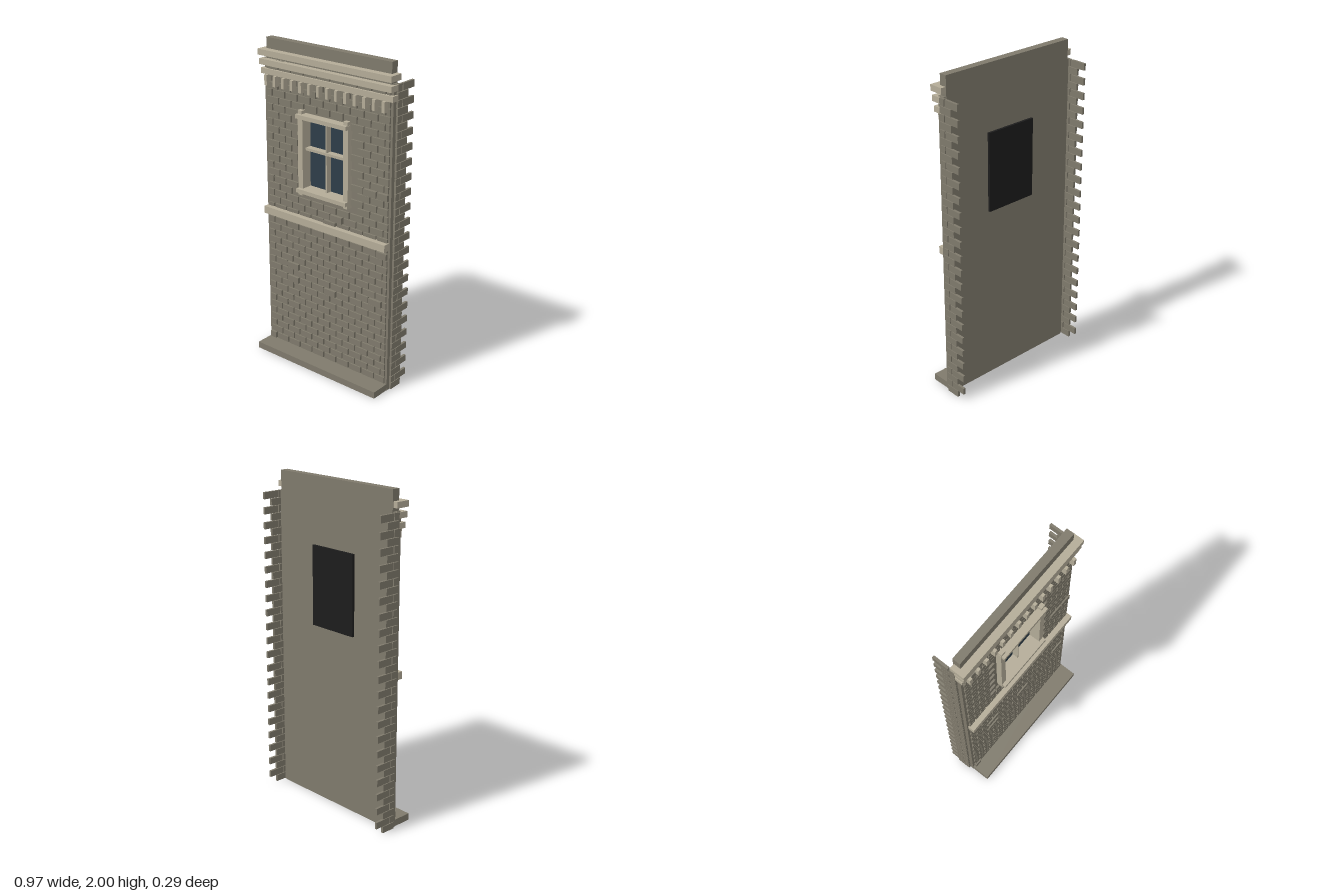
import * as THREE from 'three';
import { mergeGeometries } from 'three/addons/utils/BufferGeometryUtils.js';

const material = (name, color) => {
  const m = new THREE.MeshStandardMaterial({ color });
  m.name = name;
  return m;
};

// Box from its min/max limits
const block = (x0, x1, y0, y1, z0, z1) =>
  new THREE.BoxGeometry(x1 - x0, y1 - y0, z1 - z0)
    .translate((x0 + x1) / 2, (y0 + y1) / 2, (z0 + z1) / 2);

export function createModel() {
  const group = new THREE.Group();
  const stone = material('brick stone', 0x7f7a6c);
  const trim = material('pale trim', 0xb4ac98);
  const glass = material('window glass', 0x2e3d49);
  const black = material('black backing', 0x1c1c1c);

  const add = (name, mat, geometry) => {
    const mesh = new THREE.Mesh(Array.isArray(geometry) ? mergeGeometries(geometry) : geometry, mat);
    mesh.name = name;
    group.add(mesh);
  };

  // Small seeded generator for the odd protruding brick
  let seed = 7;
  const random = () => (seed = (seed * 16807) % 2147483647) / 2147483647;

  // Wall slab with the window opening
  const outline = new THREE.Shape();
  outline.moveTo(-0.455, 0).lineTo(0.455, 0).lineTo(0.455, 1.88).lineTo(-0.455, 1.88).closePath();
  const hole = new THREE.Path();
  hole.moveTo(-0.165, 1.13).lineTo(-0.165, 1.595).lineTo(0.165, 1.595).lineTo(0.165, 1.13).closePath();
  outline.holes.push(hole);
  add('wall', stone, new THREE.ExtrudeGeometry(outline, { depth: 0.047, bevelEnabled: false })
    .translate(0, 0, -0.025));
  add('parapet', stone, block(-0.455, 0.455, 1.88, 2, -0.025, 0.023));
  add('plinth', stone, block(-0.468, 0.468, 0, 0.042, -0.02, 0.143));

  // Running-bond brick face, leaving out bricks that meet the window
  const rows = 42, rowHeight = 1.88 / rows, step = 0.098;
  const bricks = [];
  for (let r = 1; r < rows; r++) {
    const y0 = r * rowHeight + 0.003, y1 = (r + 1) * rowHeight - 0.003;
    const start = -0.455 - (r % 2 ? step / 2 : 0);
    for (let i = 0; i < 11; i++) {
      const x0 = Math.max(start + i * step + 0.005, -0.455);
      const x1 = Math.min(start + (i + 1) * step - 0.005, 0.455);
      if (x1 - x0 < 0.01) continue;
      if (x1 > -0.185 && x0 < 0.185 && y1 > 1.11 && y0 < 1.61) continue;
      bricks.push(block(x0, x1, y0, y1, 0.02, random() < 0.03 ? 0.042 : 0.034));
    }
  }
  add('faceBricks', stone, bricks);

  // Corner strips and toothed return bricks on both sides
  for (const side of [-1, 1]) {
    const limits = (a, b) => (side > 0 ? [a, b] : [-b, -a]);
    const teeth = [];
    for (let r = 0; r < rows; r++) {
      const y0 = r * rowHeight + 0.002, y1 = (r + 1) * rowHeight - 0.002;
      const x = limits(0.468, 0.483);
      if (r % 2) {
        teeth.push(block(...x, y0, y1, -0.143, -0.042), block(...x, y0, y1, -0.036, 0));
      } else {
        teeth.push(block(...x, y0, y1, -0.09, 0));
      }
    }
    const label = side > 0 ? 'left' : 'right';
    add(label + 'ReturnBricks', stone, teeth);
    add(label + 'CornerStrip', stone, block(...limits(0.45, 0.47), 0, 1.88, -0.02, 0.024));
  }

  // Cornice bands, dentils and belt course
  add('cornice', trim, [
    block(-0.485, 0.485, 1.9, 1.935, -0.02, 0.068),
    block(-0.482, 0.482, 1.843, 1.877, -0.01, 0.06),
    block(-0.482, 0.482, 1.787, 1.82, -0.01, 0.047),
  ]);
  const dentils = [];
  for (let i = 0; i < 14; i++) {
    const x = -0.43 + i * 0.0662;
    dentils.push(block(x - 0.01, x + 0.01, 1.725, 1.787, 0.02, 0.064));
  }
  add('dentils', trim, dentils);
  add('beltCourse', trim, block(-0.462, 0.462, 0.915, 0.96, 0.01, 0.067));

  // Window surround: jambs, lintel, sill and small end blocks
  const ends = [];
  for (const x of [-0.17, 0.17]) {
    ends.push(block(x - 0.016, x + 0.016, 1.6, 1.622, 0.02, 0.06));
    ends.push(block(x - 0.016, x + 0.016, 1.103, 1.125, 0.02, 0.06));
    add('windowJamb', trim, block(x - 0.018, x + 0.018, 1.12, 1.6, -0.024, 0.058));
  }
  add('windowEndBlocks', trim, ends);
  add('windowLintel', trim, block(-0.186, 0.186, 1.577, 1.602, -0.024, 0.08));
  add('windowSill', trim, block(-0.186, 0.186, 1.123, 1.147, -0.024, 0.08));

  // Glazing, bars and dark backing
  add('windowGlass', glass, block(-0.155, 0.155, 1.14, 1.585, -0.02, -0.012));
  add('windowBars', trim, [
    block(-0.004, 0.004, 1.14, 1.585, -0.012, 0.025),
    block(-0.155, 0.155, 1.378, 1.394, -0.012, 0.03),
  ]);
  add('windowBacking', black, block(-0.167, 0.167, 1.115, 1.6, -0.04, -0.022));

  return group;
}
